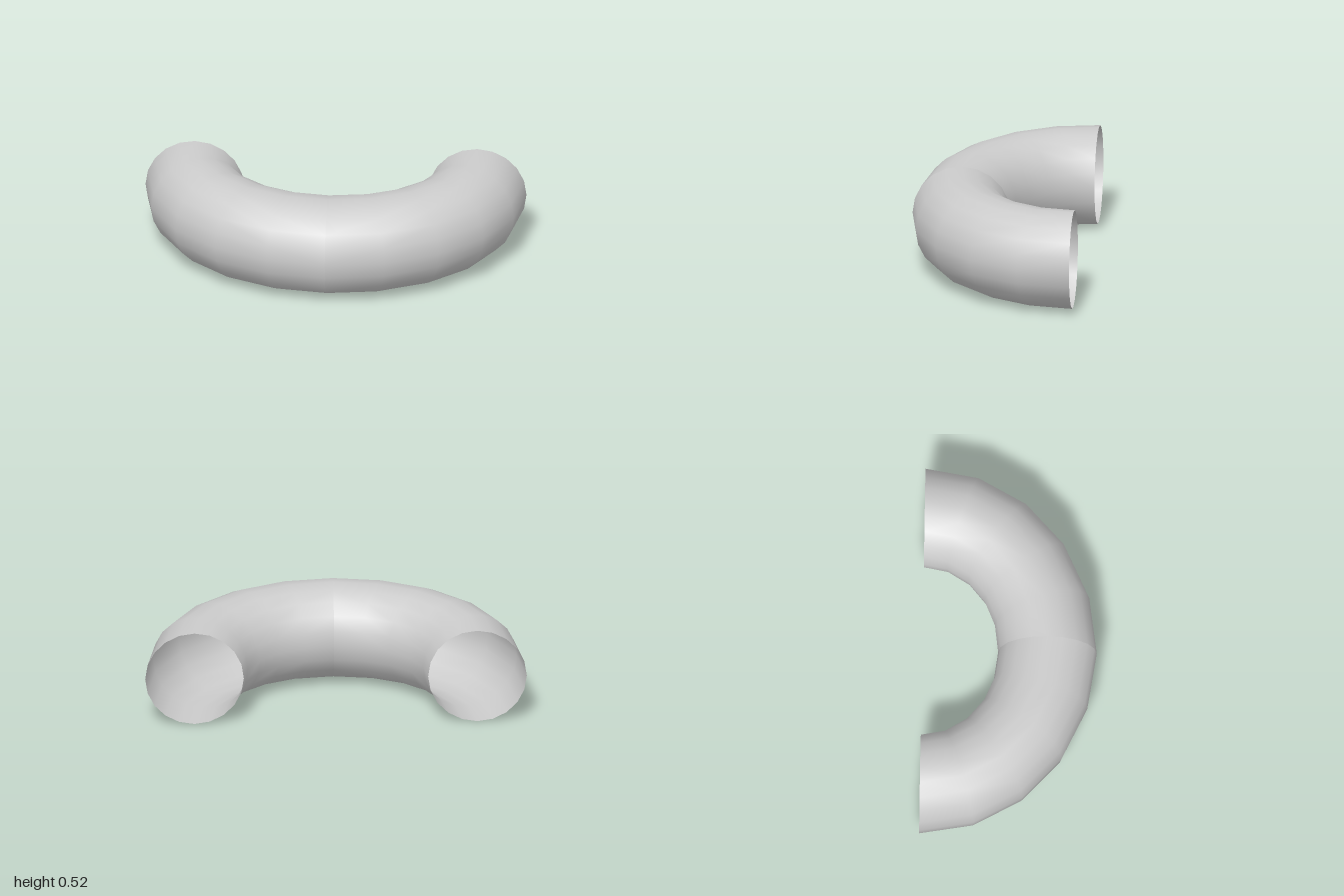
import * as THREE from 'three';
import { mergeVertices } from 'three/addons/utils/BufferGeometryUtils.js';

const TUBE = 0.2585;            // radius of the pipe
const PATH_X = 1 - TUBE;        // half width of the bend's centre line
const PATH_Z = 0.655;           // depth of the bend's centre line
const BACK = -(PATH_Z + TUBE) / 2;

// One quarter of the bend: a torus arc whose centre line is flattened to an ellipse
function quarterBend() {
  let geo = new THREE.TorusGeometry(PATH_X, TUBE, 20, 5, Math.PI / 2);
  geo.rotateX(Math.PI / 2);
  const p = geo.attributes.position;
  for (let i = 0; i < p.count; i++) {
    const angle = Math.atan2(p.getZ(i), p.getX(i));
    p.setZ(i, p.getZ(i) - (PATH_X - PATH_Z) * Math.sin(angle));
  }
  // weld the seam along the pipe so that it shades smoothly
  geo.deleteAttribute('uv');
  geo.deleteAttribute('normal');
  geo = mergeVertices(geo, 1e-4);
  geo.computeVertexNormals();
  return geo.translate(0, TUBE, BACK);
}

export function createModel() {
  const group = new THREE.Group();
  group.name = 'curvedPipe';
  const material = new THREE.MeshStandardMaterial({ color: 0xcccccc, side: THREE.DoubleSide });
  const geo = quarterBend();

  // Mirrored halves meet at x = 0; both pipe ends stay open
  for (const [name, side] of [['leftHalf', 1], ['rightHalf', -1]]) {
    const half = new THREE.Mesh(geo, material);
    half.name = name;
    half.scale.x = side;
    group.add(half);
  }
  return group;
}
